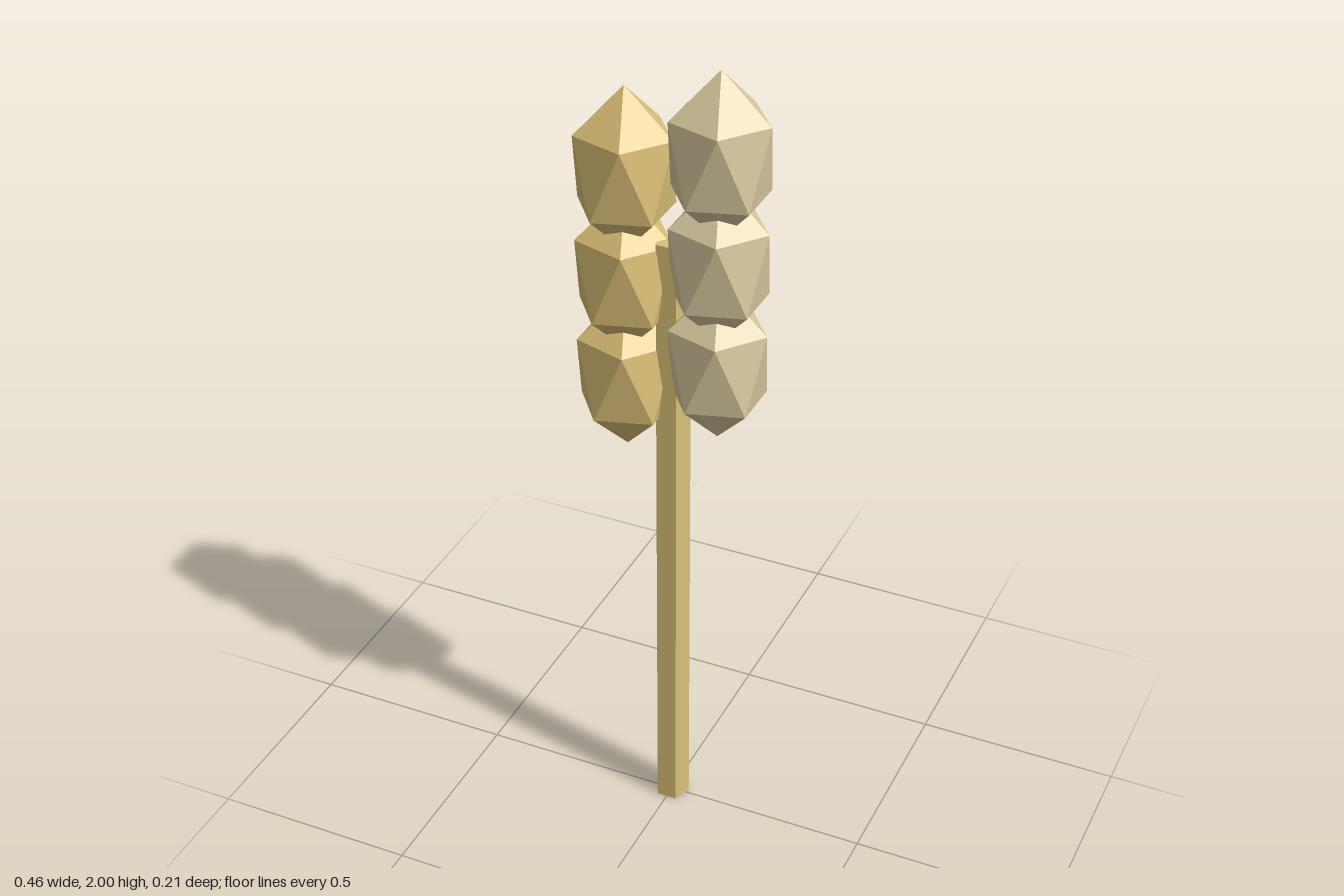
import * as THREE from 'three';

const straw = new THREE.MeshStandardMaterial({ name: 'straw gold', color: 0xdbc078, flatShading: true });
const pale = new THREE.MeshStandardMaterial({ name: 'pale grain', color: 0xdacaa0, flatShading: true });

// Stretched icosahedron standing on its point: two staggered rings of five and two tips
function grainGeometry(rx, ry, rz) {
  const ringR = 2 / Math.sqrt(5), ringY = 1 / Math.sqrt(5);
  const ring = (i, y, turn) => {
    const a = (i + turn) * Math.PI * 2 / 5;
    return [ringR * Math.cos(a), y, -ringR * Math.sin(a)];
  };
  const top = [0, 1, 0], bottom = [0, -1, 0], corners = [];
  for (let i = 0; i < 5; i++) {
    const u0 = ring(i, ringY, 0), u1 = ring(i + 1, ringY, 0);
    const l0 = ring(i, -ringY, 0.5), l1 = ring(i + 1, -ringY, 0.5);
    corners.push(top, u0, u1, u0, l0, u1, l0, l1, u1, bottom, l1, l0);
  }
  const geometry = new THREE.BufferGeometry();
  geometry.setAttribute('position', new THREE.Float32BufferAttribute(corners.flat(), 3));
  geometry.scale(rx, ry, rz);
  geometry.computeVertexNormals();
  return geometry;
}

export function createModel() {
  const model = new THREE.Group();
  model.name = 'wheatEar';

  // Five-sided stalk with a flat side to the front
  const stalk = new THREE.Mesh(new THREE.CylinderGeometry(0.042, 0.042, 1.575, 5), straw);
  stalk.name = 'stalk';
  stalk.rotation.y = Math.PI;
  stalk.position.y = 1.575 / 2;
  model.add(stalk);

  // Two columns of three overlapping grains, the left one sitting higher
  const geometry = grainGeometry(0.13, 0.2, 0.121);
  const columns = [
    { name: 'rightGrains', x: -0.113, y: 1.217, material: straw },
    { name: 'leftGrains', x: 0.112, y: 1.295, material: pale },
  ];
  for (const { name, x, y, material } of columns) {
    const column = new THREE.Group();
    column.name = name;
    column.position.set(x, y, 0);
    for (let i = 0; i < 3; i++) {
      const grain = new THREE.Mesh(geometry, material);
      grain.name = 'grain';
      grain.position.y = i * 0.2535;
      column.add(grain);
    }
    model.add(column);
  }
  return model;
}
